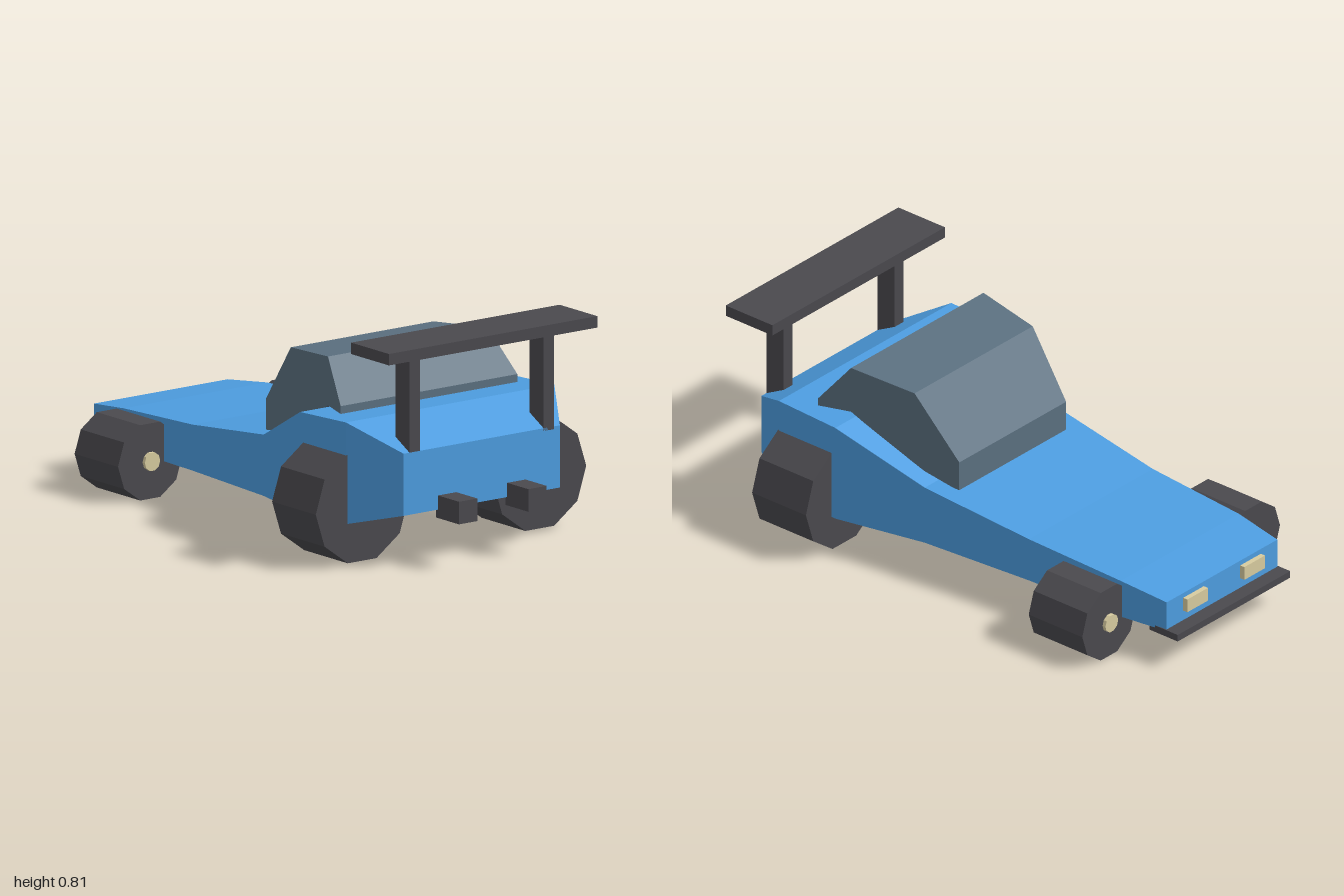
import * as THREE from 'three';

const mat = (name, color) => {
  const m = new THREE.MeshStandardMaterial({ color, flatShading: true });
  m.name = name;
  return m;
};

// Lofts rectangular sections [z, halfWidth, bottom, top], listed from +z to -z
function loft(sections) {
  const rings = sections.map(([z, w, b, t]) => [[w, b, z], [w, t, z], [-w, t, z], [-w, b, z]]);
  const pos = [];
  const quad = (a, b, c, d) => [a, b, c, a, c, d].forEach((p) => pos.push(...p));
  for (let s = 0; s < rings.length - 1; s++) {
    for (let i = 0; i < 4; i++) {
      const j = (i + 1) % 4;
      quad(rings[s][i], rings[s + 1][i], rings[s + 1][j], rings[s][j]);
    }
  }
  const end = rings[rings.length - 1];
  quad(...rings[0]);
  quad(end[3], end[2], end[1], end[0]);
  const g = new THREE.BufferGeometry();
  g.setAttribute('position', new THREE.Float32BufferAttribute(pos, 3));
  g.computeVertexNormals();
  return g;
}

export function createModel() {
  const car = new THREE.Group();
  car.name = 'car';
  const blue = mat('blue paint', 0x4d9de0);
  const glass = mat('grey glass', 0x5b7080);
  const dark = mat('dark grey', 0x4a494e);
  const cream = mat('cream', 0xd8cca0);

  const add = (name, geometry, material, x = 0, y = 0, z = 0) => {
    const mesh = new THREE.Mesh(geometry, material);
    mesh.name = name;
    mesh.position.set(x, y, z);
    car.add(mesh);
  };
  // Box given by its extents in y and z
  const box = (name, material, x, width, y0, y1, z0, z1) =>
    add(name, new THREE.BoxGeometry(width, y1 - y0, z1 - z0), material, x, (y0 + y1) / 2, (z0 + z1) / 2);
  // Cylinder lying along z with a corner on the x axis
  const disc = (name, material, r, length, sides, x, y, z) =>
    add(name, new THREE.CylinderGeometry(r, r, length, sides, 1, false, Math.PI / 2).rotateX(Math.PI / 2),
      material, x, y, z);

  // Wedge body and cabin
  add('body', loft([
    [0.88, 0.345, 0.197, 0.42],
    [0.7, 0.46, 0.15, 0.515],
    [0.44, 0.46, 0.14, 0.503],
    [0.11, 0.365, 0.125, 0.345],
    [-0.34, 0.33, 0.125, 0.29],
    [-0.75, 0.315, 0.125, 0.268],
    [-0.945, 0.295, 0.13, 0.245],
  ]), blue);
  add('cabin', loft([
    [0.58, 0.39, 0.512, 0.54],
    [0.46, 0.353, 0.515, 0.69],
    [0.2, 0.315, 0.38, 0.668],
    [0.02, 0.285, 0.33, 0.445],
  ]), glass);

  // Wing and bumper
  box('wing', dark, 0, 0.92, 0.766, 0.807, 0.73, 0.945);
  box('bumper', dark, 0, 0.6, 0.111, 0.137, -1, -0.87);

  for (const side of [-1, 1]) {
    box('wingPost', dark, side * 0.296, 0.046, 0.41, 0.768, 0.8, 0.88);
    box('exhaust', dark, side * 0.153, 0.081, 0.167, 0.248, 0.87, 1);
    box('headlight', cream, side * 0.152, 0.11, 0.175, 0.226, -0.964, -0.94);
    disc('rearWheel', dark, 0.205, 0.248, 10, side * 0.392, 0.205, 0.581);
    disc('frontWheel', dark, 0.142, 0.247, 10, side * 0.385, 0.135, -0.633);
    // Hubs sit on opposite faces of the two front wheels
    disc('frontHub', cream, 0.034, 0.02, 10, side * 0.385, 0.135, side > 0 ? -0.76 : -0.506);
  }
  return car;
}
